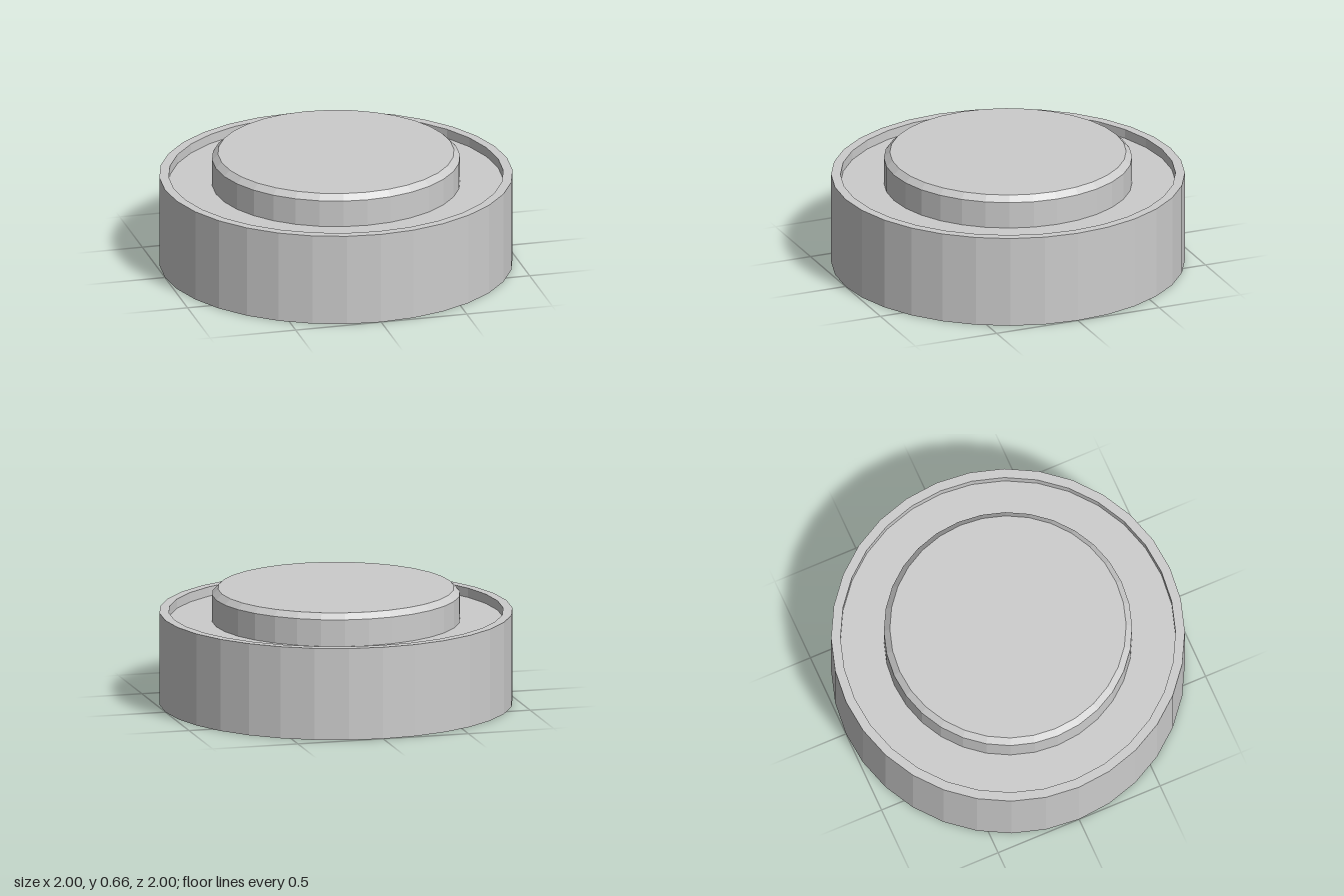
import * as THREE from 'three';

const SIDES = 32;

// Faceted solid of revolution from [radius, height] pairs, listed from the bottom up
function turned(name, profile, material) {
  const points = profile.map(([r, y]) => new THREE.Vector2(r, y));
  const mesh = new THREE.Mesh(new THREE.LatheGeometry(points, SIDES), material);
  mesh.name = name;
  return mesh;
}

export function createModel() {
  const grey = new THREE.MeshStandardMaterial({ color: 0xcccccc });
  grey.name = 'light grey';
  grey.flatShading = true;

  const group = new THREE.Group();
  group.name = 'roundButton';

  // Base drum with a thin raised rim around a shallow recess
  group.add(turned('base', [
    [0, 0], [1, 0], [1, 0.53], [0.947, 0.53], [0.947, 0.476], [0, 0.476],
  ], grey));

  // Raised centre disc with a chamfered top edge
  group.add(turned('centreDisc', [
    [0.702, 0.476], [0.702, 0.63], [0.668, 0.663], [0, 0.663],
  ], grey));

  return group;
}
